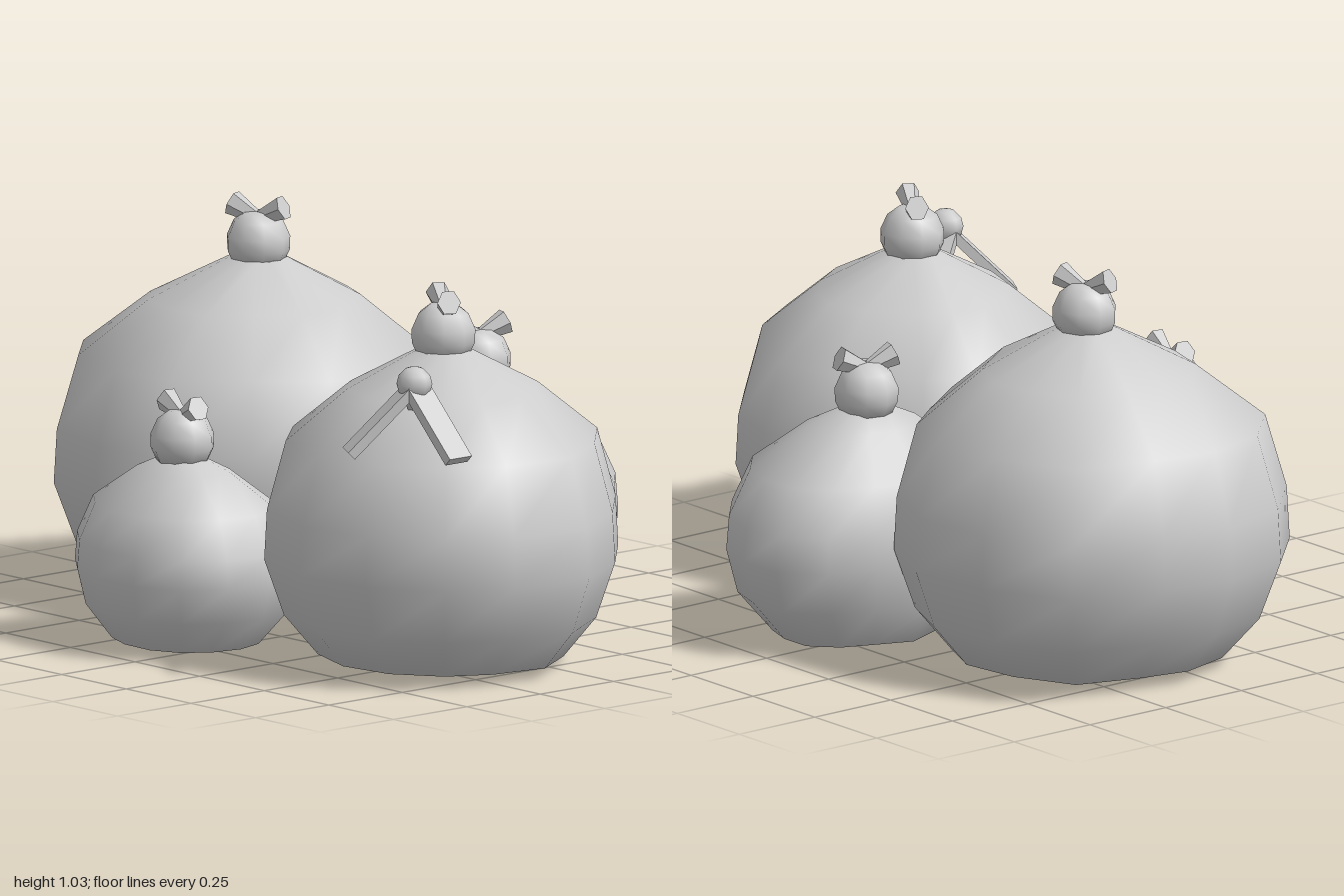
import * as THREE from 'three';

const cloth = new THREE.MeshStandardMaterial({ color: 0xcccccc });
cloth.name = 'plain grey';

// Profiles from the ground up: [share of radius, share of height]
const SLOPED = [[0, 0], [0.36, 0], [0.7, 0.03], [0.89, 0.16], [1, 0.34], [0.985, 0.5], [0.88, 0.72], [0.54, 0.88], [0.15, 1], [0, 1]];
const ROUND = [[0, 0], [0.36, 0], [0.67, 0.03], [0.92, 0.21], [1, 0.4], [0.98, 0.55], [0.83, 0.75], [0.42, 0.93], [0.17, 1], [0, 1]];

// Each sack: centre, height, bow angle about y, uneven outline seen from above
const SACKS = [
  { name: 'leftBackSack', x: -0.49, z: -0.1, h: 0.87, turn: 0.36, profile: SLOPED, outline: [
    [-1, -0.03], [-0.96, -0.22], [-0.88, -0.46], [-0.65, -0.57], [-0.42, -0.6], [-0.22, -0.51], [-0.12, -0.38],
    [0.02, -0.18], [0, 0.05], [-0.15, 0.22], [-0.3, 0.4], [-0.54, 0.41], [-0.78, 0.34], [-0.94, 0.18]] },
  { name: 'rightFrontSack', x: 0.5, z: 0.14, h: 0.81, turn: -0.52, profile: SLOPED, outline: [
    [0.02, 0], [0.12, -0.13], [0.32, -0.3], [0.53, -0.335], [0.7, -0.28], [0.87, -0.12], [0.995, 0.08],
    [0.96, 0.3], [0.87, 0.46], [0.7, 0.58], [0.48, 0.61], [0.25, 0.53], [0.1, 0.37], [0.03, 0.2]] },
  { name: 'smallFrontSack', x: -0.1, z: 0.5, h: 0.49, turn: -0.15, profile: ROUND, outline: [
    [-0.41, 0.5], [-0.34, 0.37], [-0.2, 0.29], [-0.05, 0.24], [0.08, 0.28], [0.18, 0.36], [0.215, 0.48],
    [0.19, 0.6], [0.12, 0.7], [0, 0.755], [-0.15, 0.75], [-0.28, 0.7], [-0.38, 0.62]] },
  { name: 'smallBackSack', x: 0.025, z: -0.4, h: 0.6, turn: 1.25, profile: ROUND, outline: [
    [-0.26, -0.4], [-0.2, -0.55], [-0.15, -0.67], [-0.05, -0.76], [0.08, -0.76], [0.2, -0.72], [0.31, -0.62],
    [0.32, -0.46], [0.28, -0.24], [0.16, -0.08], [0, -0.04], [-0.18, -0.2]] },
];

function part(parent, name, geometry) {
  const mesh = new THREE.Mesh(geometry, cloth);
  mesh.name = name;
  parent.add(mesh);
  return mesh;
}

// Stacks scaled copies of the outline along the profile
function sackGeometry({ x, z, h, profile, outline }) {
  const n = outline.length, pos = [], index = [];
  profile.forEach(([r, y], j) => {
    outline.forEach(([ox, oz], i) => {
      pos.push(x + (ox - x) * r, y * h, z + (oz - z) * r);
      if (j === profile.length - 1) return;
      const a = j * n + i, b = j * n + (i + 1) % n;
      index.push(a, a + n, b, b, a + n, b + n);
    });
  });
  const g = new THREE.BufferGeometry();
  g.setAttribute('position', new THREE.Float32BufferAttribute(pos, 3));
  g.setIndex(index);
  g.computeVertexNormals();
  return g;
}

// Gathered neck with a two-lobed tied end
function addTie(parent, { x, z, h, turn }) {
  const tie = new THREE.Group();
  tie.name = 'tie';
  tie.position.set(x, h, z);
  tie.rotation.y = turn;
  parent.add(tie);
  const neck = [[0, -0.02], [0.066, -0.015], [0.082, 0.02], [0.083, 0.055], [0.065, 0.095], [0.035, 0.118], [0, 0.12]];
  part(tie, 'neck', new THREE.LatheGeometry(neck.map(([r, y]) => new THREE.Vector2(r, y)), 9));
  for (const side of [-1, 1]) {
    const lobe = part(tie, 'tieLobe', new THREE.CylinderGeometry(0.034, 0.016, 0.085, 6).toNonIndexed());
    lobe.geometry.computeVertexNormals();
    lobe.position.set(side * 0.036, 0.118, 0);
    lobe.rotation.z = -side * 1.15;
    lobe.scale.z = 0.9;
  }
}

export function createModel() {
  const model = new THREE.Group();
  model.name = 'sackPile';
  for (const s of SACKS) {
    const sack = new THREE.Group();
    sack.name = s.name;
    part(sack, 'sackBody', sackGeometry(s));
    addTie(sack, s);
    model.add(sack);
  }

  // Three-armed clasp resting on the right sack
  const clasp = new THREE.Group();
  clasp.name = 'clasp';
  clasp.position.set(0.695, 0.785, 0.41);
  model.add(clasp);
  part(clasp, 'claspKnob', new THREE.SphereGeometry(0.046, 8, 6));
  for (let i = 0; i < 3; i++) {
    const arm = new THREE.Group();
    arm.name = 'claspArm';
    arm.rotation.y = i * Math.PI * 2 / 3;
    clasp.add(arm);
    const strap = part(arm, 'strap', new THREE.BoxGeometry(0.23, 0.025, 0.075));
    strap.position.set(0.09, -0.094, 0);
    strap.rotation.z = -Math.PI / 4;
  }
  return model;
}
